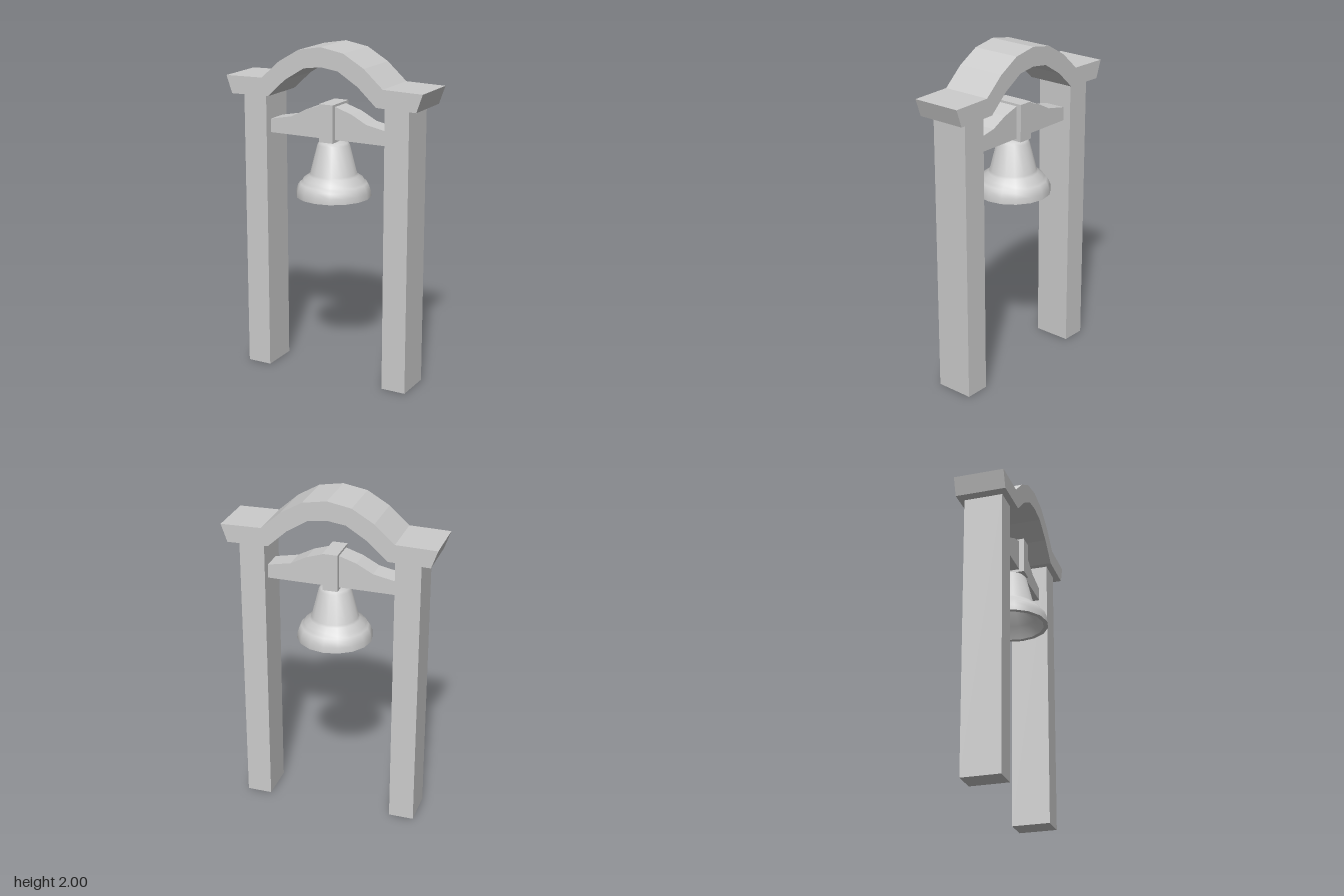
import * as THREE from 'three';
import { toCreasedNormals } from 'three/addons/utils/BufferGeometryUtils.js';

const material = new THREE.MeshStandardMaterial({ color: 0xcccccc });
const flat = new THREE.MeshStandardMaterial({ color: 0xcccccc, flatShading: true });

function addMesh(group, name, geometry, mat = flat) {
  const mesh = new THREE.Mesh(geometry, mat);
  mesh.name = name;
  group.add(mesh);
  return mesh;
}

// Mirrors a half outline (ordered from the middle outwards and back) across x = 0.
function mirrored(top, bottom) {
  const half = [...top, ...bottom.slice().reverse()];
  const other = half
    .filter(([x]) => x > 0)
    .map(([x, y]) => [-x, y])
    .reverse();
  return [...half, ...other];
}

// Extrudes an outline so that it spans the given depth, centred on z.
function slab(outline, depth, z = 0) {
  const shape = new THREE.Shape(outline.map(([x, y]) => new THREE.Vector2(x, y)));
  const geometry = new THREE.ExtrudeGeometry(shape, { depth, bevelEnabled: false });
  return geometry.translate(0, 0, z - depth / 2);
}

export function createModel() {
  const group = new THREE.Group();

  // Two square-cut posts
  for (const [name, side] of [['leftPost', 1], ['rightPost', -1]]) {
    const post = addMesh(group, name, new THREE.BoxGeometry(0.15, 1.69, 0.23));
    post.position.set(side * 0.46, 0.845, 0);
  }

  // Curved roof beam with flared ends
  const roofTop = [[0, 2], [0.143, 1.975], [0.272, 1.9], [0.39, 1.795], [0.632, 1.79]];
  const roofBottom = [[0, 1.887], [0.11, 1.872], [0.235, 1.795], [0.35, 1.69], [0.595, 1.685]];
  addMesh(group, 'archedRoof', slab(mirrored(roofTop, roofBottom), 0.3, 0.003));

  // Yoke spanning the posts, with a block clamped round its middle
  const yokeTop = [[0, 1.655], [0.045, 1.65], [0.148, 1.617], [0.245, 1.566], [0.387, 1.538]];
  const yokeBottom = [[0, 1.457], [0.387, 1.457]];
  addMesh(group, 'yoke', slab(mirrored(yokeTop, yokeBottom), 0.13));
  const block = addMesh(group, 'yokeBlock', new THREE.BoxGeometry(0.09, 0.223, 0.19));
  block.position.y = 1.552;

  // Hollow bell: inside wall downwards, round the lip, outside wall upwards
  const profile = [
    [0, 1.4], [0.07, 1.39], [0.12, 1.23], [0.16, 1.18], [0.195, 1.108],
    [0.222, 1.108], [0.22, 1.14], [0.21, 1.17], [0.198, 1.187], [0.183, 1.197],
    [0.178, 1.212], [0.146, 1.232], [0.138, 1.245], [0.095, 1.415], [0.085, 1.428],
    [0.055, 1.442], [0, 1.445],
  ].map(([r, y]) => new THREE.Vector2(r, y));
  const bell = toCreasedNormals(new THREE.LatheGeometry(profile, 16), 0.9);
  addMesh(group, 'bell', bell, material);

  return group;
}
